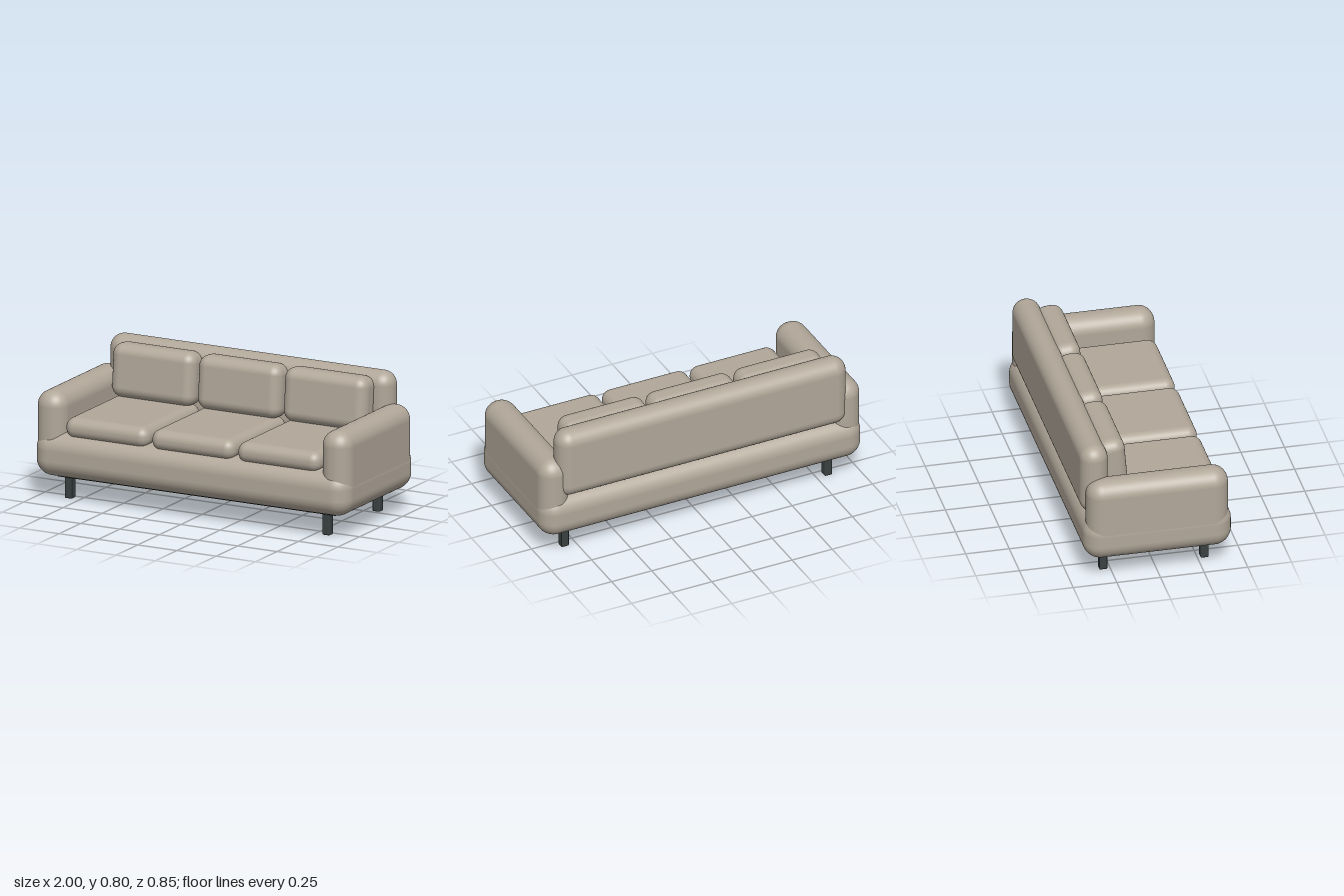
import * as THREE from 'three';
import { RoundedBoxGeometry } from 'three/addons/geometries/RoundedBoxGeometry.js';

export function createModel() {
  const sofa = new THREE.Group();
  sofa.name = 'sofa';

  const fabric = new THREE.MeshStandardMaterial({ color: 0xb1a799 });
  fabric.name = 'warm grey fabric';
  const dark = new THREE.MeshStandardMaterial({ color: 0x3a4141 });
  dark.name = 'dark frame';

  // Rounded box given by its extents along each axis
  function block(name, [x0, x1], [y0, y1], [z0, z1], radius, material, segments = 6) {
    const geometry = new RoundedBoxGeometry(x1 - x0, y1 - y0, z1 - z0, segments, radius);
    const mesh = new THREE.Mesh(geometry, material);
    mesh.name = name;
    mesh.position.set((x0 + x1) / 2, (y0 + y1) / 2, (z0 + z1) / 2);
    sofa.add(mesh);
    return mesh;
  }

  // Upholstered body
  block('base', [-1, 1], [0.13, 0.39], [-0.423, 0.423], 0.1, fabric, 8);
  block('backrest', [-0.9, 0.9], [0.38, 0.8], [-0.423, -0.265], 0.078, fabric, 8);

  // Arms, mirrored
  for (const [side, s] of [['left', 1], ['right', -1]]) {
    const x = [s * 0.815, s * 0.999].sort((a, b) => a - b);
    block(side + 'Arm', x, [0.2, 0.62], [-0.404, 0.404], 0.088, fabric, 8);
  }

  // Three seat cushions and three leaning back cushions
  ['right', 'middle', 'left'].forEach((place, i) => {
    const cx = (i - 1) * 0.547;
    const x = [cx - 0.264, cx + 0.264];
    block(place + 'SeatCushion', x, [0.365, 0.485], [-0.27, 0.39], 0.057, fabric);
    const back = block(place + 'BackCushion', x, [0.477, 0.785], [-0.3, -0.142], 0.062, fabric);
    back.rotation.x = -0.085;
  });

  // Underside panel and four legs
  block('underPanel', [-0.89, 0.89], [0.12, 0.145], [-0.323, 0.323], 0.01, dark, 2);
  for (const x of [-0.82, 0.82]) {
    for (const z of [-0.29, 0.29]) {
      const name = (z > 0 ? 'front' : 'back') + (x > 0 ? 'Left' : 'Right') + 'Leg';
      block(name, [x - 0.023, x + 0.023], [0, 0.135], [z - 0.023, z + 0.023], 0.006, dark, 2);
    }
  }

  return sofa;
}
